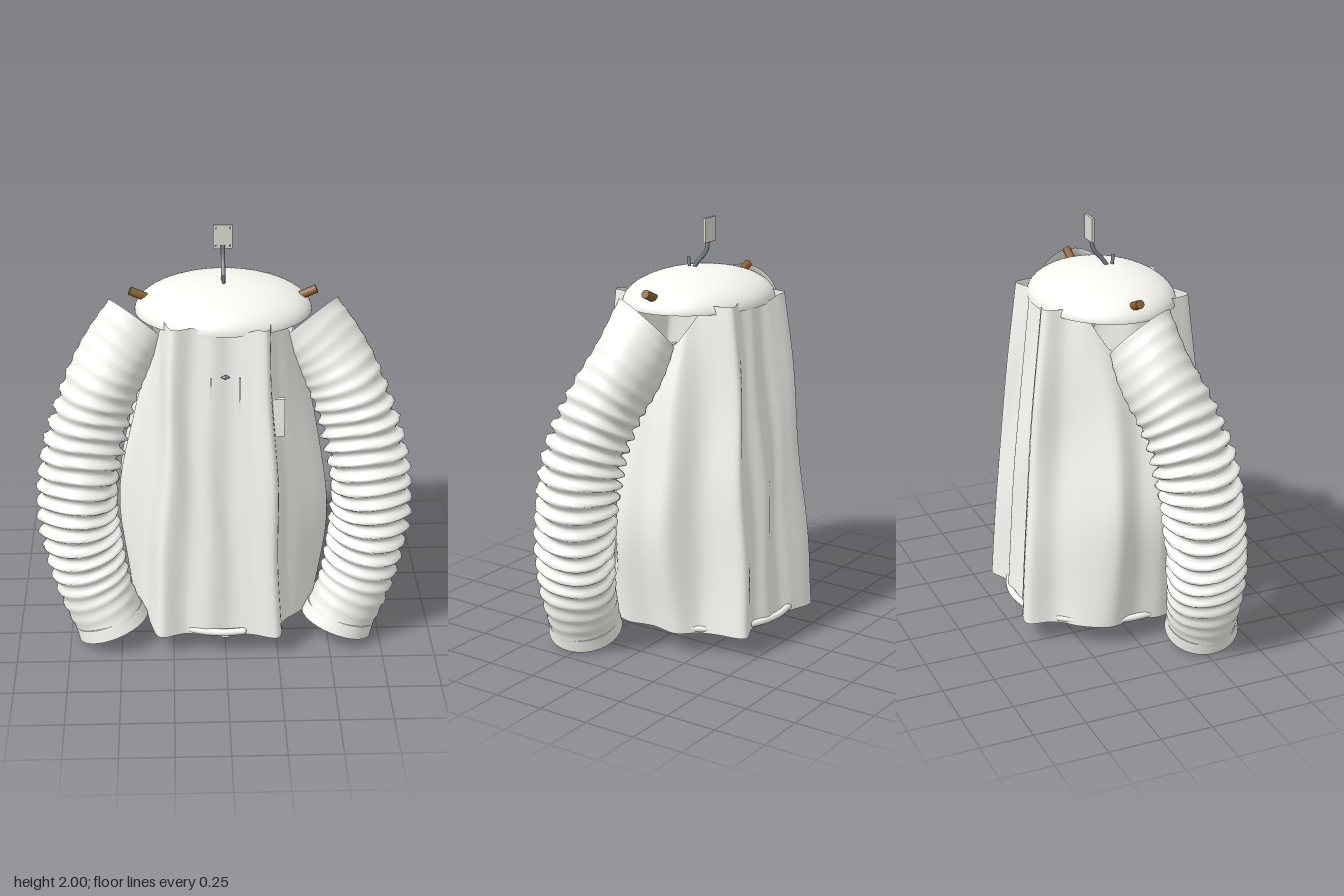
import * as THREE from 'three';

const V = (x, y, z) => new THREE.Vector3(x, y, z);
const white = new THREE.MeshStandardMaterial({ color: 0xf8f8f3 });
const cloth = new THREE.MeshStandardMaterial({ color: 0xf8f8f3, side: THREE.DoubleSide });
const plateGrey = new THREE.MeshStandardMaterial({ color: 0xdedfd2 });
const dark = new THREE.MeshStandardMaterial({ color: 0xb4b4b4 });
const brown = new THREE.MeshStandardMaterial({ color: 0x8a6230 });
const steel = new THREE.MeshStandardMaterial({ color: 0x808890 });

function add(parent, name, geometry, material, x = 0, y = 0, z = 0) {
  const mesh = new THREE.Mesh(geometry, material);
  mesh.name = name;
  mesh.position.set(x, y, z);
  parent.add(mesh);
  return mesh;
}

// Skin a list of closed rings that all have the same number of points
function loft(rings) {
  const n = rings[0].length, index = [];
  for (let j = 0; j < rings.length - 1; j++) {
    for (let i = 0; i < n; i++) {
      const a = j * n + i, b = j * n + (i + 1) % n;
      index.push(a, a + n, b, b, a + n, b + n);
    }
  }
  const g = new THREE.BufferGeometry().setFromPoints(rings.flat());
  g.setIndex(index);
  g.computeVertexNormals();
  return g;
}

const rod = (points, r, sides = 10) =>
  new THREE.TubeGeometry(new THREE.CatmullRomCurve3(points), 16, r, sides, false);

// Folded torso cloth: a pleated hem outline tapering towards the shoulders
function bodyGeometry() {
  const outline = [
    [0.25, 0.485], [0.285, 0.34], [0.37, 0.25], [0.44, 0.12], [0.42, -0.02],
    [0.44, -0.16], [0.37, -0.25], [0.345, -0.33], [0.31, -0.465], [0.18, -0.425],
    [0.08, -0.46], [-0.03, -0.43], [-0.12, -0.465], [-0.25, -0.49], [-0.29, -0.36],
    [-0.38, -0.26], [-0.44, -0.14], [-0.42, 0], [-0.44, 0.13], [-0.38, 0.25],
    [-0.36, 0.35], [-0.315, 0.465], [-0.19, 0.435], [-0.08, 0.455], [0.03, 0.435], [0.13, 0.455],
  ];
  const curve = new THREE.CatmullRomCurve3(outline.map(([x, z]) => V(x, 0, z)), true, 'centripetal');
  const hem = curve.getPoints(208).slice(0, -1);
  const rings = [];
  for (let j = 0; j <= 32; j++) {
    const t = j / 32;
    rings.push(hem.map((p) => {
      const panel = THREE.MathUtils.smoothstep(Math.abs(p.z), 0.1, 0.32);
      const corner = THREE.MathUtils.smoothstep(Math.abs(p.x), 0.1, 0.2);
      const top = 1.46 + panel * (0.165 + 0.025 * corner);
      const bulge = 0.23 * Math.sin(Math.PI * t) * (1 - panel);
      const sway = 0.01 * Math.sin(Math.PI * t) * Math.sin(9 * t + 12 * p.x);
      return V(p.x * (1 - 0.25 * t + bulge) + sway,
        0.105 + (top - 0.105) * t,
        p.z * (1 - 0.28 * t + 0.03 * Math.sin(Math.PI * t)) + sway * 0.6);
    }));
  }
  return loft(rings);
}

// Centre line of a sleeve, from shoulder to cuff
function sleevePath(s) {
  return new THREE.CatmullRomCurve3([
    V(0.4, 1.56, 0.02), V(0.5, 1.4, 0.05), V(0.6, 1.2, 0.12), V(0.675, 0.93, 0.19),
    V(0.695, 0.62, 0.225), V(0.64, 0.33, 0.255), V(0.56, 0.12, 0.285),
  ].map((p) => p.setX(p.x * s)));
}

function ringAt(center, tangent, s, radius, n = 48) {
  const depth = V(0, 0, 1).addScaledVector(tangent, -tangent.z).normalize();
  const side = new THREE.Vector3().crossVectors(tangent, depth).multiplyScalar(-s);
  return Array.from({ length: n }, (_, i) => {
    const a = (i / n) * Math.PI * 2, r = radius(a);
    return center.clone().addScaledVector(side, r * Math.cos(a)).addScaledVector(depth, r * Math.sin(a));
  });
}

// Sleeve with sharp bellows ridges, strongest around the elbow
function buildSleeve(s) {
  const group = new THREE.Group();
  group.name = s > 0 ? 'leftSleeve' : 'rightSleeve';
  const path = sleevePath(s), rings = [], steps = 132;
  for (let j = 0; j <= steps; j++) {
    const t = j / steps;
    const tangent = path.getTangentAt(t);
    // Tilt the shoulder opening inwards and back
    tangent.addScaledVector(V(0.2 * s, 0, 0.32), Math.max(0, 1 - t * 5)).normalize();
    const base = 0.168 + 0.013 * Math.sin(Math.PI * t);
    const amp = 0.002 + 0.019 * THREE.MathUtils.smoothstep(t, 0.12, 0.42) * (1 - THREE.MathUtils.smoothstep(t, 0.7, 0.98));
    rings.push(ringAt(path.getPointAt(t), tangent, s, (a) => {
      const ridge = 1 - 2 * Math.abs(Math.sin(Math.PI * (22 * t + 0.12 * Math.sin(2 * a + 9 * t))));
      return base + amp * ridge + 0.004 * Math.sin(3 * a + 14 * t);
    }));
  }
  add(group, 'bellowsSleeve', loft(rings), cloth);

  // Closed cuff with a dark end face
  const end = path.getPointAt(1);
  const dir = V(-0.33 * s, -0.93, 0.13).normalize();
  const cuff = add(group, 'cuff', new THREE.CylinderGeometry(0.17, 0.177, 0.065, 48), [white, white, dark]);
  cuff.position.copy(end).addScaledVector(dir, 0.02);
  cuff.quaternion.setFromUnitVectors(V(0, -1, 0), dir);
  return group;
}

export function createModel() {
  const model = new THREE.Group();
  model.name = 'garmentOnStand';

  add(model, 'torsoCloth', bodyGeometry(), cloth);
  for (const s of [1, -1]) model.add(buildSleeve(s));

  // Shoulder dome
  const dome = add(model, 'shoulderDome',
    new THREE.SphereGeometry(1, 64, 20, 0, Math.PI * 2, 0, Math.PI / 2), cloth, 0, 1.612, 0);
  dome.scale.set(0.41, 0.15, 0.335);

  // Brown shoulder pegs
  for (const s of [1, -1]) {
    const peg = add(model, s > 0 ? 'leftPeg' : 'rightPeg',
      new THREE.CylinderGeometry(0.02, 0.02, 0.1, 14), brown, 0.385 * s, 1.686, 0.005);
    peg.rotation.z = -s * 1.15;
  }

  // Hanging rod, small pin and screwed plate
  add(model, 'hangingRod', rod([V(0, 1.755, 0.03), V(0, 1.785, 0.01), V(0, 1.83, -0.03),
    V(0, 1.86, -0.043), V(0, 1.905, -0.047)], 0.01), steel);
  add(model, 'pin', rod([V(0, 1.75, 0.055), V(0, 1.803, 0.063)], 0.008), steel);
  add(model, 'plate', new THREE.BoxGeometry(0.09, 0.115, 0.012), plateGrey, 0, 1.9425, -0.056);
  for (const x of [-0.033, 0.033]) {
    for (const y of [1.9, 1.985]) {
      const screw = add(model, 'plateScrew', new THREE.CylinderGeometry(0.005, 0.005, 0.005, 8), steel, x, y, -0.049);
      screw.rotation.x = Math.PI / 2;
    }
  }

  // Open hoop inside the hem
  const hoop = [];
  for (let i = 0; i <= 24; i++) {
    const a = THREE.MathUtils.lerp(1.38, Math.PI * 2 - 0.2, i / 24);
    hoop.push(V(0.428 * Math.cos(a), 0.125, 0.46 * Math.sin(a)));
  }
  add(model, 'hemHoop', new THREE.TubeGeometry(new THREE.CatmullRomCurve3(hoop), 80, 0.017, 10), white);
  for (const p of [hoop[0], hoop[24]]) add(model, 'hoopEnd', new THREE.SphereGeometry(0.017, 10, 8), white, p.x, p.y, p.z);

  // Front closure strip, its fastener, seams and chest tabs
  add(model, 'frontStrip', new THREE.BoxGeometry(0.036, 1.4, 0.016), white, 0, 0.7, 0.31);
  const knob = add(model, 'fastener', new THREE.OctahedronGeometry(1), steel, 0, 1.425, 0.355);
  knob.scale.set(0.022, 0.013, 0.022);
  for (const s of [1, -1]) {
    add(model, 'chestSeam', new THREE.BoxGeometry(0.006, 0.22, 0.012), white, 0.065 * s, 1.31, 0.355);
    add(model, 'chestTab', new THREE.BoxGeometry(0.06, 0.19, 0.02), white, 0.242 * s, 1.205, 0.325);
  }
  return model;
}
